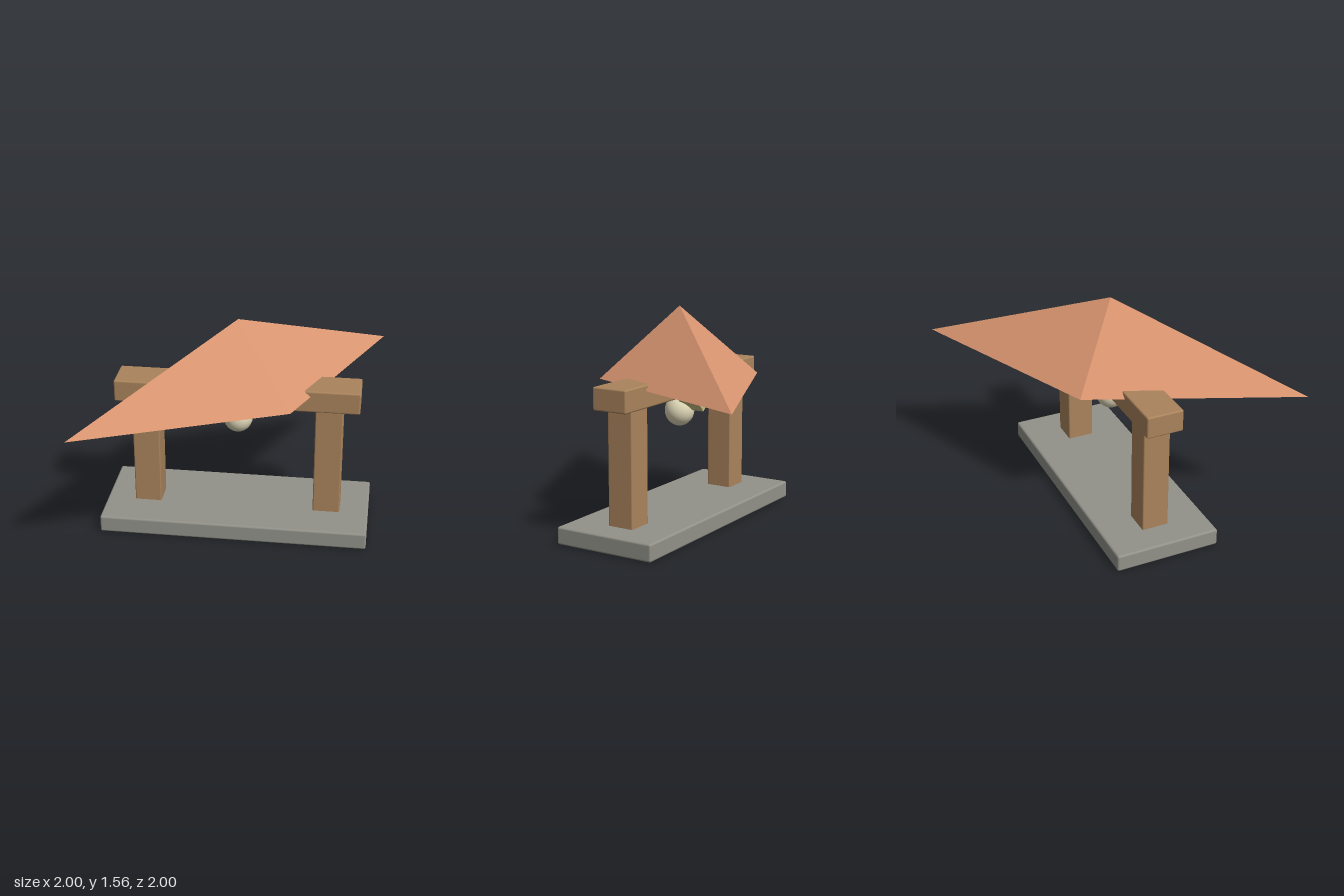
import * as THREE from 'three';
import { RoundedBoxGeometry } from 'three/addons/geometries/RoundedBoxGeometry.js';

const material = (name, color) => {
  const m = new THREE.MeshStandardMaterial({ color });
  m.name = name;
  return m;
};

export function createModel() {
  const stone = material('stone', 0x92928a);
  const wood = material('wood', 0xaa845c);
  const clay = material('clay', 0xd8946f);
  const ivory = material('ivory', 0xe0d8b8);
  const straw = material('straw', 0xcabe82);

  const model = new THREE.Group();
  model.name = 'shelter';

  const add = (name, geometry, mat, x, y, z) => {
    const mesh = new THREE.Mesh(geometry, mat);
    mesh.name = name;
    mesh.position.set(x, y, z);
    model.add(mesh);
    return mesh;
  };
  const block = (w, h, d, r) => new RoundedBoxGeometry(w, h, d, 2, r);

  // Stone slab
  add('base', block(1.92, 0.125, 0.76, 0.015), stone, 0, 0.0625, 0);

  // Two posts carrying the crossbeam
  for (const side of [-1, 1]) {
    add(side > 0 ? 'leftPost' : 'rightPost', block(0.195, 0.85, 0.195, 0.01),
      wood, side * 0.655, 0.535, 0);
  }
  add('crossbeam', block(1.74, 0.16, 0.265, 0.012), wood, 0, 1.02, 0);

  // Four-sided roof, stretched along one diagonal
  const roof = new THREE.ConeGeometry(1, 0.5, 4)
    .scale(Math.SQRT2, 1, 0.575)
    .rotateY(Math.PI / 4)
    .toNonIndexed();
  roof.computeVertexNormals();
  add('roof', roof, clay, 0, 1.31, 0);

  // Hanging globe, slightly taller than wide
  const globe = new THREE.SphereGeometry(0.106, 32, 24).scale(1, 1.07, 1);
  add('globe', globe, ivory, 0, 0.812, 0);

  // Diamond bracket behind the beam
  const bracket = add('bracket', new THREE.BoxGeometry(0.283, 0.283, 0.16), straw, 0, 1.02, -0.12);
  bracket.rotation.z = Math.PI / 4;

  return model;
}
